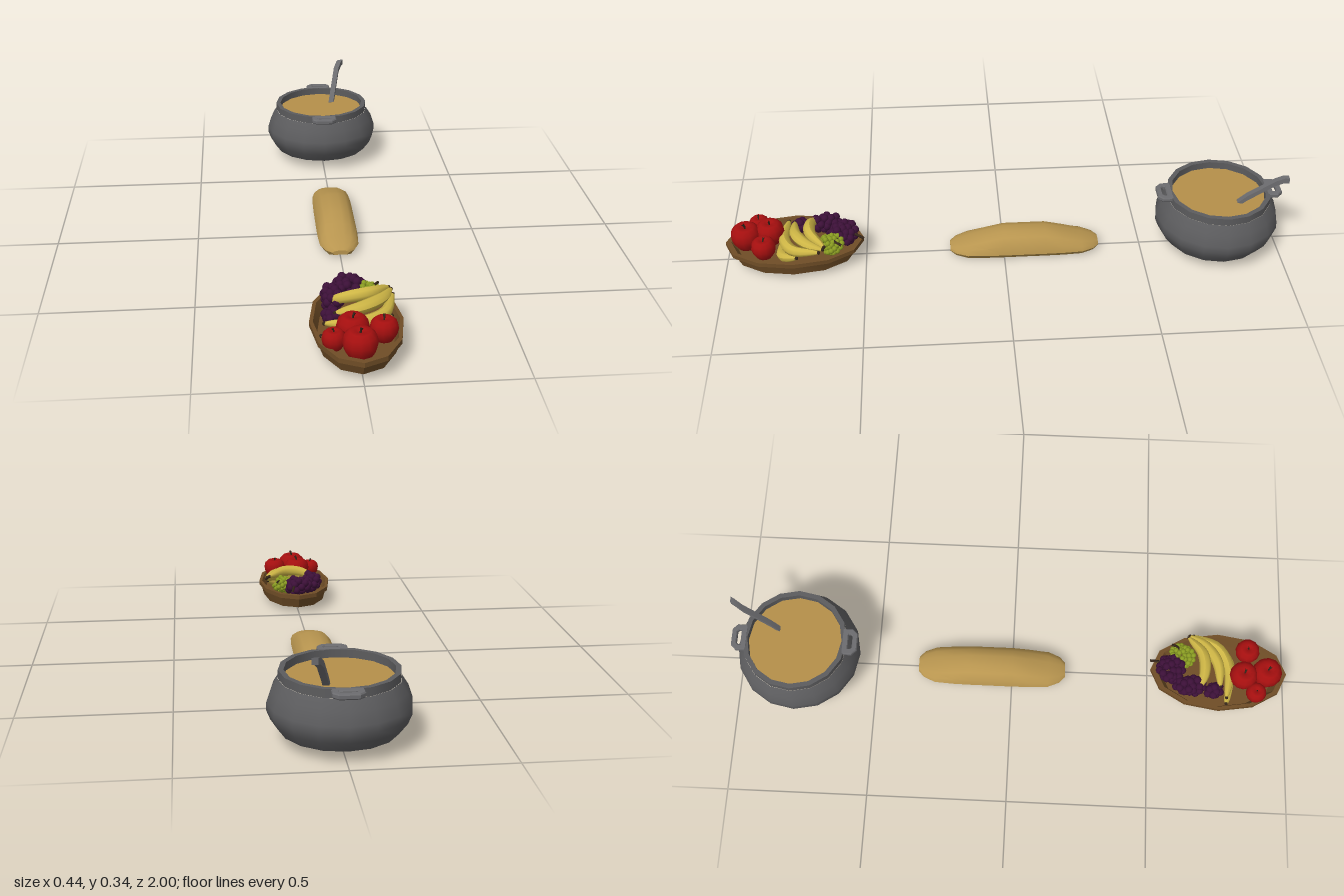
import * as THREE from 'three';
import { mergeGeometries, toCreasedNormals } from 'three/addons/utils/BufferGeometryUtils.js';

const material = (name, color, side = THREE.FrontSide) => {
  const m = new THREE.MeshStandardMaterial({ color, side });
  m.name = name;
  return m;
};

const mats = {
  iron: material('dark iron', 0x5c5c5e),
  steel: material('handle steel', 0x6c6c6f),
  soup: material('soup', 0xb58f4a),
  crust: material('bread crust', 0xb8954f),
  wood: material('plate wood', 0x6f4d26),
  apple: material('apple red', 0xa50f0f),
  banana: material('banana yellow', 0xcdb545),
  purple: material('purple grape', 0x3c1038),
  green: material('green grape', 0x8a9c22),
  stem: material('stem brown', 0x35261a),
};

function add(parent, name, geometry, mat) {
  const mesh = new THREE.Mesh(geometry, mat);
  mesh.name = name;
  parent.add(mesh);
  return mesh;
}

const lathe = (pts, sides) => new THREE.LatheGeometry(pts.map(([r, y]) => new THREE.Vector2(r, y)), sides);

// Closed skin over rings of [x, y, z], each anticlockwise from +z, ordered by rising z
function loft(rings, crease) {
  const n = rings[0].length, last = (rings.length - 1) * n, index = [];
  for (let k = 0; k < rings.length - 1; k++) {
    for (let j = 0; j < n; j++) {
      const a = k * n + j, b = k * n + (j + 1) % n;
      index.push(a, b, b + n, a, b + n, a + n);
    }
  }
  for (let j = 1; j < n - 1; j++) {
    index.push(0, j + 1, j, last, last + j, last + j + 1);
  }
  const g = new THREE.BufferGeometry();
  g.setAttribute('position', new THREE.Float32BufferAttribute(rings.flat(2), 3));
  g.setIndex(index);
  return toCreasedNormals(g, crease);
}

// Tube along a smooth path whose radius follows a rule of t
function taperedTube(points, radiusAt, steps, sides) {
  const curve = new THREE.CatmullRomCurve3(points.map((p) => new THREE.Vector3(...p)));
  const g = new THREE.TubeGeometry(curve, steps, 1, sides);
  const pos = g.attributes.position, v = new THREE.Vector3();
  for (let i = 0; i < pos.count; i++) {
    const t = Math.floor(i / (sides + 1)) / steps;
    const c = curve.getPointAt(t);
    v.fromBufferAttribute(pos, i).sub(c).multiplyScalar(radiusAt(t)).add(c);
    pos.setXYZ(i, v.x, v.y, v.z);
  }
  g.computeVertexNormals();
  return g;
}

function makePot() {
  const pot = new THREE.Group();
  pot.name = 'pot';
  pot.position.z = -0.775;
  const sides = 16;
  add(pot, 'potBase', lathe([[0, 0.04], [0.183, 0.04]], sides), mats.iron);
  add(pot, 'potBody', lathe([[0.183, 0.04], [0.209, 0.075], [0.221, 0.105], [0.22, 0.13],
    [0.207, 0.17], [0.186, 0.203]], sides), mats.iron);
  add(pot, 'potNeck', lathe([[0.185, 0.203], [0.185, 0.23]], sides), mats.iron);
  add(pot, 'potRim', lathe([[0.185, 0.23], [0.168, 0.23]], sides), mats.iron);
  add(pot, 'potInside', lathe([[0.168, 0.23], [0.168, 0.198]], sides), mats.iron);
  add(pot, 'soup', lathe([[0.169, 0.204], [0, 0.204]], sides), mats.soup);

  // Loop handles at front and back
  const outline = (w, inner, outer, cut) => [[-w, inner], [w, inner], [w, outer - cut],
    [w - cut, outer], [cut - w, outer], [-w, outer - cut]].map(([x, y]) => new THREE.Vector2(x, y));
  const shape = new THREE.Shape(outline(0.045, 0.172, 0.221, 0.016));
  shape.holes.push(new THREE.Path(outline(0.03, 0.188, 0.208, 0.008).reverse()));
  const handleGeo = new THREE.ExtrudeGeometry(shape,
    { depth: 0.01, bevelSize: 0.003, bevelThickness: 0.004, bevelSegments: 1 });
  handleGeo.rotateX(Math.PI / 2);
  for (const [name, turn] of [['frontHandle', 0], ['backHandle', Math.PI]]) {
    const h = add(pot, name, handleGeo, mats.steel);
    h.position.y = 0.227;
    h.rotation.y = turn;
  }

  // Ladle shaft with a bent grip
  const rings = [[0.098, 0.329, -0.217], [0.09, 0.325, -0.202], [0.078, 0.306, -0.178],
    [0.055, 0.23, -0.09], [0.046, 0.195, -0.06]].map(([x, y, z]) =>
    [[-1, -1], [1, -1], [1, 1], [-1, 1]].map(([a, b]) => [x + a * 0.01, y + b * 0.01, z]));
  add(pot, 'ladle', loft(rings, 0.5), mats.steel);
  return pot;
}

function makeBread() {
  // Stations of half width, underside and top height along the loaf
  const half = [[0.27, 0.028, 0.014, 0.03], [0.25, 0.05, 0.006, 0.04], [0.208, 0.068, 0.001, 0.053],
    [0.14, 0.072, 0, 0.073], [0.075, 0.073, 0, 0.09]];
  const stations = [...half.map(([z, ...s]) => [-z, ...s]), ...half.slice().reverse()];
  const rings = stations.map(([z, w, low, top]) => {
    const side = Math.min(0.022, (low + top) / 2);
    const profile = [[0.76, low], [1, side], [0.9, side + (top - side) * 0.5],
      [0.62, side + (top - side) * 0.86], [0.25, top]];
    const right = profile.map(([x, y]) => [x * w, y, z - 0.075]);
    const left = profile.slice().reverse().map(([x, y]) => [-x * w, y, z - 0.075]);
    return [...right, ...left];
  });
  return new THREE.Mesh(loft(rings, 0.8), mats.crust);
}

function makePlate(parent) {
  const profile = [[0, 0.02], [0.87, 0.02], [0.95, 0.062], [1, 0.062], [1, 0.078],
    [0.92, 0.078], [0.83, 0.04], [0, 0.04]];
  const g = lathe(profile, 12).scale(0.145, 1, 0.247).translate(0, 0, 0.7525);
  add(parent, 'plate', toCreasedNormals(g, 0.55), mats.wood);
}

function makeApples(parent) {
  const body = lathe([[0, -0.8], [0.3, -0.92], [0.62, -0.75], [0.9, -0.3], [1, 0.15],
    [0.9, 0.58], [0.62, 0.84], [0.3, 0.86], [0, 0.65]], 12);
  const stem = taperedTube([[0, 0.6, 0], [0.03, 0.9, 0], [0.14, 1.12, 0.05]], (t) => 0.05 + 0.04 * t, 4, 5);
  const spots = [[-0.02, 0.1, 0.84, 0.051], [0.073, 0.102, 0.855, 0.044],
    [-0.08, 0.091, 0.885, 0.037], [-0.005, 0.097, 0.925, 0.054]];
  spots.forEach(([x, y, z, r], i) => {
    const apple = new THREE.Group();
    apple.name = 'apple' + (i + 1);
    add(apple, 'appleBody', body, mats.apple);
    add(apple, 'appleStem', stem, mats.stem);
    apple.position.set(x, y, z);
    apple.rotation.y = i * 1.9;
    apple.scale.setScalar(r);
    parent.add(apple);
  });
}

function makeBananas(parent) {
  const paths = [
    [[-0.11, 0.045, 0.785], [-0.03, 0.026, 0.8], [0.05, 0.045, 0.795], [0.11, 0.08, 0.74]],
    [[-0.1, 0.085, 0.78], [0.005, 0.088, 0.79], [0.085, 0.095, 0.752], [0.122, 0.11, 0.66]],
    [[-0.065, 0.105, 0.755], [0.02, 0.117, 0.745], [0.085, 0.12, 0.7], [0.118, 0.12, 0.645]],
    [[-0.085, 0.1, 0.668], [-0.03, 0.125, 0.695], [0.045, 0.135, 0.69], [0.11, 0.125, 0.64]],
  ];
  const radius = (t) => 0.021 * Math.pow(Math.sin(Math.PI * (0.03 + 0.94 * t)), 0.55);
  paths.forEach((p, i) => {
    add(parent, 'banana' + (i + 1), taperedTube(p, radius, 14, 8), mats.banana);
    // Dark tips close both ends
    for (const end of [p[0], p[3]]) {
      const tip = add(parent, 'bananaTip', new THREE.SphereGeometry(0.007, 6, 4), mats.stem);
      tip.position.set(...end);
    }
  });
}

// Bunch of grapes spread through an ellipsoid
function grapes(parent, name, count, [x, y, z], [sx, sy, sz], r, mat) {
  const berries = [];
  for (let i = 0; i < count; i++) {
    const h = 1 - 2 * (i + 0.5) / count, a = i * 2.39996;
    const fill = 0.82 + 0.18 * Math.sin(i * 4.7), ring = Math.sqrt(1 - h * h) * fill;
    berries.push(new THREE.SphereGeometry(r, 8, 6)
      .translate(x + Math.cos(a) * ring * sx, y + h * fill * sy, z + Math.sin(a) * ring * sz));
  }
  add(parent, name, mergeGeometries(berries), mat);
}

export function createModel() {
  const model = new THREE.Group();
  model.name = 'meal';
  model.add(makePot());
  const bread = makeBread();
  bread.name = 'breadLoaf';
  model.add(bread);

  const fruit = new THREE.Group();
  fruit.name = 'fruitPlate';
  model.add(fruit);
  makePlate(fruit);
  makeApples(fruit);
  makeBananas(fruit);
  grapes(fruit, 'purpleGrapesBack', 36, [-0.005, 0.1, 0.577], [0.06, 0.03, 0.042], 0.015, mats.purple);
  grapes(fruit, 'purpleGrapesMiddle', 30, [-0.065, 0.098, 0.645], [0.036, 0.034, 0.05], 0.015, mats.purple);
  grapes(fruit, 'purpleGrapesFront', 14, [-0.075, 0.085, 0.735], [0.026, 0.02, 0.026], 0.015, mats.purple);
  grapes(fruit, 'greenGrapes', 60, [0.052, 0.095, 0.62], [0.045, 0.03, 0.042], 0.01, mats.green);

  // Grape stalks
  const stalks = [
    [[0.01, 0.11, 0.56], [0.02, 0.105, 0.53], [0.027, 0.092, 0.503]],
    [[0.05, 0.11, 0.61], [0.075, 0.115, 0.6], [0.085, 0.11, 0.58]],
  ];
  for (const p of stalks) add(fruit, 'grapeStalk', taperedTube(p, () => 0.005, 6, 5), mats.stem);
  return model;
}
